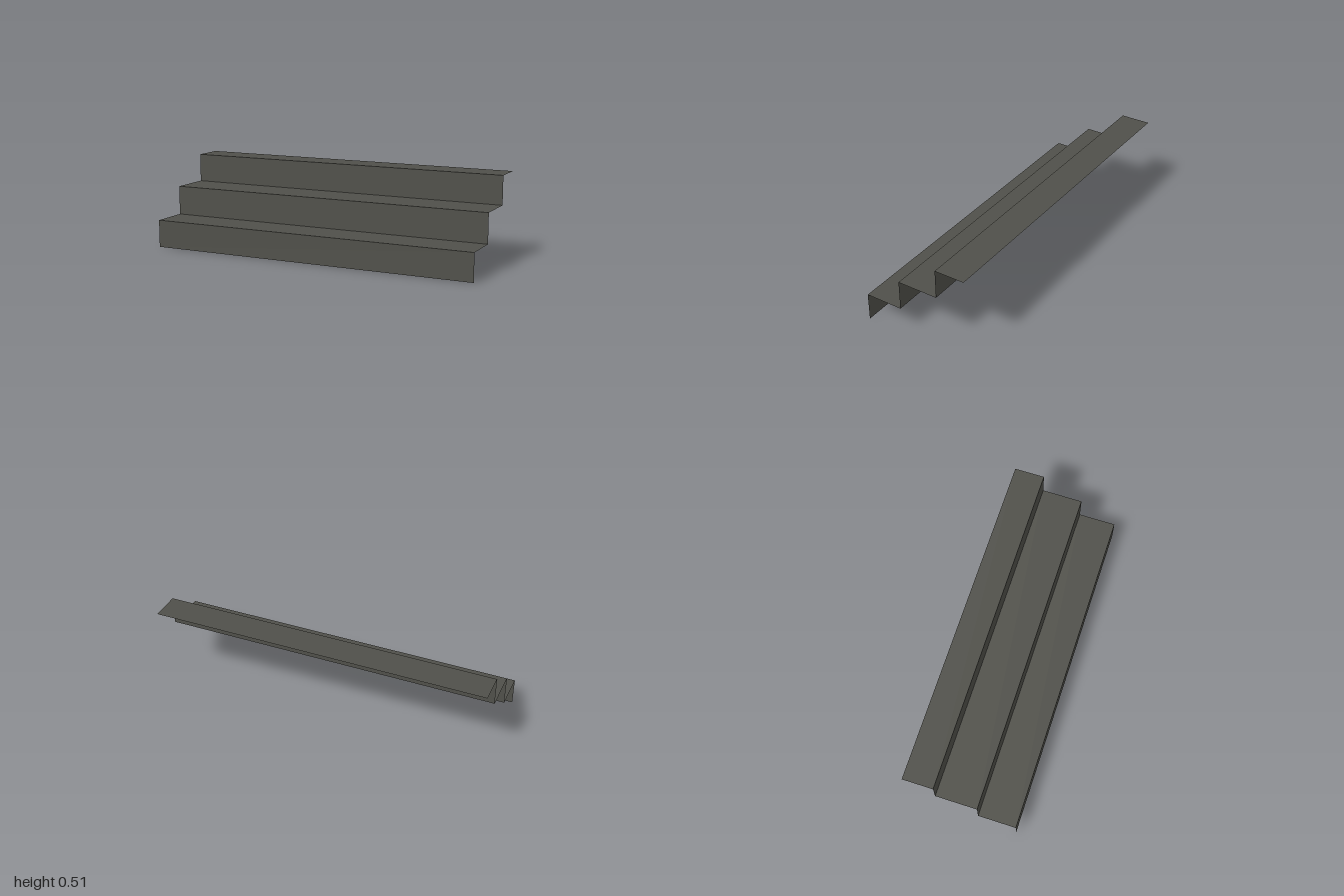
import * as THREE from 'three';

const WIDTH = 2;
// Stair profile as [z, y], from the front foot to the back of the top tread
const PROFILE = [
  [0.325, 0], [0.325, 0.165],
  [0.1, 0.165], [0.1, 0.34],
  [-0.145, 0.34], [-0.145, 0.51],
  [-0.325, 0.51],
];

export function createModel() {
  const group = new THREE.Group();
  group.name = 'steps';

  const stone = new THREE.MeshStandardMaterial({ color: 0x50504a, side: THREE.DoubleSide });
  stone.name = 'dark grey stone';

  // Thin sheets, alternating upright risers and flat treads
  for (let i = 0; i < PROFILE.length - 1; i++) {
    const [z0, y0] = PROFILE[i];
    const [z1, y1] = PROFILE[i + 1];
    const isRiser = i % 2 === 0;
    const geometry = new THREE.PlaneGeometry(WIDTH, isRiser ? y1 - y0 : z0 - z1);
    if (!isRiser) geometry.rotateX(-Math.PI / 2);
    const sheet = new THREE.Mesh(geometry, stone);
    sheet.name = (isRiser ? 'riser' : 'tread') + (Math.floor(i / 2) + 1);
    sheet.position.set(0, (y0 + y1) / 2, (z0 + z1) / 2);
    group.add(sheet);
  }
  return group;
}
